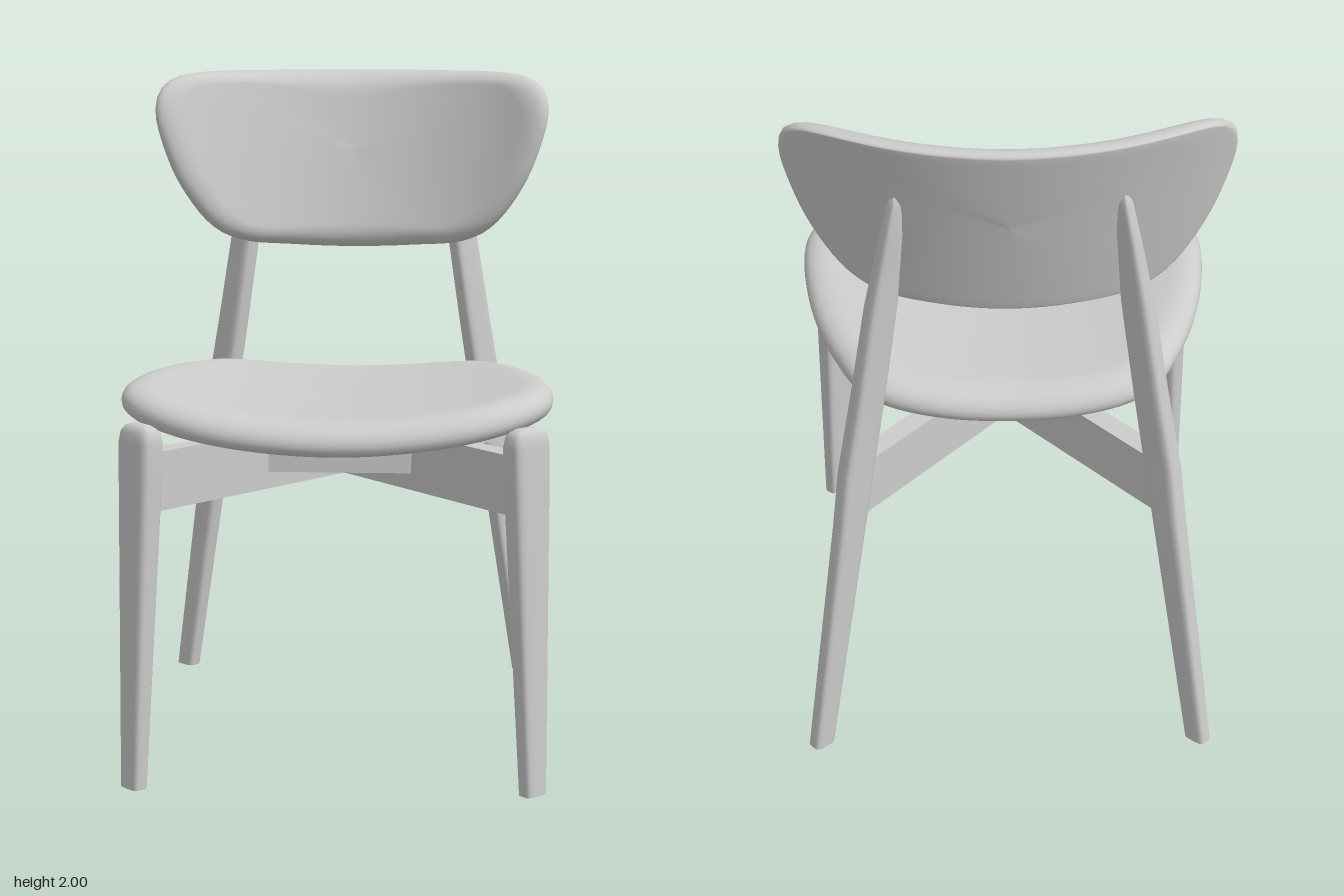
import * as THREE from 'three';

const paint = new THREE.MeshStandardMaterial({ color: 0xcccccc });
paint.name = 'pale grey';

// Skin a list of equally long rings of [x, y, z] points into a smooth closed surface.
function skin(name, rings) {
  const n = rings[0].length, index = [];
  for (let k = 0; k < rings.length - 1; k++) {
    for (let i = 0; i < n; i++) {
      const j = (i + 1) % n;
      const a = k * n + i, b = k * n + j, c = a + n, d = b + n;
      index.push(a, c, d, a, d, b);
    }
  }
  const g = new THREE.BufferGeometry();
  g.setAttribute('position', new THREE.Float32BufferAttribute(rings.flat(2), 3));
  g.setIndex(index);
  g.computeVertexNormals();
  const mesh = new THREE.Mesh(g, paint);
  mesh.name = name;
  return mesh;
}

// Padded panel: a symmetric outline with a soft front edge and a tighter back edge,
// bent into place by map(u, v, h), h being the height above the back face.
function panel(name, half, cv, thick, soft, tight, map) {
  const mirrored = half.slice(1, -1).reverse().map(([u, v]) => [-u, v]);
  const curve = new THREE.CatmullRomCurve3(
    [...half, ...mirrored].map(([u, v]) => new THREE.Vector3(u, v, 0)), true, 'centripetal');
  const outline = curve.getSpacedPoints(96).slice(0, 96);
  const profile = []; // [scale, inset, h]
  const inner = [0, 0.2, 0.4, 0.6, 0.8, 0.92];
  inner.forEach(s => profile.push([s, soft, thick]));
  const lip = thick * 0.32;
  for (let k = 0; k <= 8; k++) {
    const a = k / 8 * Math.PI / 2;
    profile.push([1, soft * (1 - Math.sin(a)), lip + (thick - lip) * Math.cos(a)]);
  }
  for (let k = 1; k <= 4; k++) {
    const a = k / 4 * Math.PI / 2;
    profile.push([1, tight * (1 - Math.cos(a)), lip * (1 - Math.sin(a))]);
  }
  inner.slice().reverse().forEach(s => profile.push([s, tight, 0]));
  return skin(name, profile.map(([s, inset, h]) => outline.map(p => {
    const du = p.x, dv = p.y - cv;
    const f = s * (1 - inset / Math.hypot(du, dv));
    return map(du * f, cv + dv * f, h);
  })));
}

// Leg lofted through sections [x, y, z, width along, width across] with a soft-cornered section.
function leg(name, side, angle, sections) {
  const dx = side * Math.cos(angle), dz = Math.sin(angle), n = 28;
  const pw = v => Math.sign(v) * Math.pow(Math.abs(v), 0.5);
  const foot = sections[0], top = sections[sections.length - 1];
  const all = [[...foot.slice(0, 3), 0, 0], foot, ...sections, [...top.slice(0, 3), 0, 0]];
  return skin(name, all.map(([x, y, z, along, across]) =>
    Array.from({ length: n }, (_, i) => {
      const t = i / n * Math.PI * 2;
      const a = pw(Math.cos(t)) * along / 2, b = pw(Math.sin(t)) * across / 2;
      return [side * x + dx * a - dz * b, y, z + dz * a + dx * b];
    })));
}

export function createModel() {
  const chair = new THREE.Group();
  chair.name = 'chair';

  // Seat: dished across its width
  const seatHalf = [[0, -0.72], [0.2, -0.705], [0.4, -0.66], [0.53, -0.58], [0.6, -0.48],
    [0.62, -0.36], [0.6, -0.12], [0.56, 0.06], [0.5, 0.22], [0.44, 0.33], [0.36, 0.39],
    [0.2, 0.43], [0, 0.44]];
  chair.add(panel('seat', seatHalf, -0.15, 0.095, 0.1, 0.03,
    (u, v, h) => [u, 0.985 + 0.21 * u * u + h, -v]));

  // Backrest: wrapped around an arc and leaning back
  const backHalf = [[0, 1.442], [0.2, 1.45], [0.36, 1.468], [0.45, 1.515], [0.545, 1.64],
    [0.6, 1.77], [0.624, 1.88], [0.61, 1.945], [0.57, 1.98], [0.5, 1.995], [0.25, 2], [0, 2]];
  const R = 0.9;
  chair.add(panel('backrest', backHalf, 1.75, 0.085, 0.075, 0.015, (u, v, h) => {
    const sin = u / R, cos = Math.sqrt(1 - sin * sin);
    return [u - h * sin * 0.5, v, -0.69 + 0.255 * (2 - v) + R * (1 - cos) + h * cos];
  }));

  for (const side of [1, -1]) {
    const word = side > 0 ? 'Left' : 'Right';

    // Front leg: tapered, flat face turned to the corner
    chair.add(leg('front' + word + 'Leg', side, Math.PI / 4, [
      [0.57, 0, 0.602, 0.05, 0.078],
      [0.542, 0.9, 0.574, 0.078, 0.136],
      [0.54, 1.0, 0.572, 0.078, 0.138],
      [0.54, 1.03, 0.572, 0.068, 0.128],
      [0.54, 1.045, 0.572, 0.05, 0.105],
      [0.54, 1.052, 0.572, 0.025, 0.07]]));

    // Rear leg: splayed, thickest at the rail, tapering into the backrest
    chair.add(leg('rear' + word + 'Leg', side, -0.7, [
      [0.567, 0, -0.685, 0.07, 0.05],
      [0.457, 0.78, -0.62, 0.094, 0.062],
      [0.434, 0.95, -0.594, 0.105, 0.064],
      [0.393, 1.2, -0.583, 0.098, 0.062],
      [0.35, 1.48, -0.565, 0.092, 0.058],
      [0.318, 1.7, -0.575, 0.06, 0.045],
      [0.306, 1.8, -0.582, 0.035, 0.035],
      [0.303, 1.83, -0.58, 0.015, 0.015]]));

    // Diagonal rail from a front leg to the opposite rear leg
    const run = new THREE.Vector2(1.0, 1.18);
    const rail = new THREE.Mesh(new THREE.BoxGeometry(0.065, 0.17, run.length()), paint);
    rail.name = 'diagonalRail' + word;
    rail.position.set(side * 0.05, 0.885, -0.01);
    rail.rotation.y = side * Math.atan2(run.x, run.y);
    chair.add(rail);
  }

  // Cross brace between the rails under the seat
  const brace = new THREE.Mesh(new THREE.BoxGeometry(0.45, 0.12, 0.06), paint);
  brace.name = 'crossBrace';
  brace.position.set(0, 0.91, 0.2);
  chair.add(brace);

  return chair;
}
